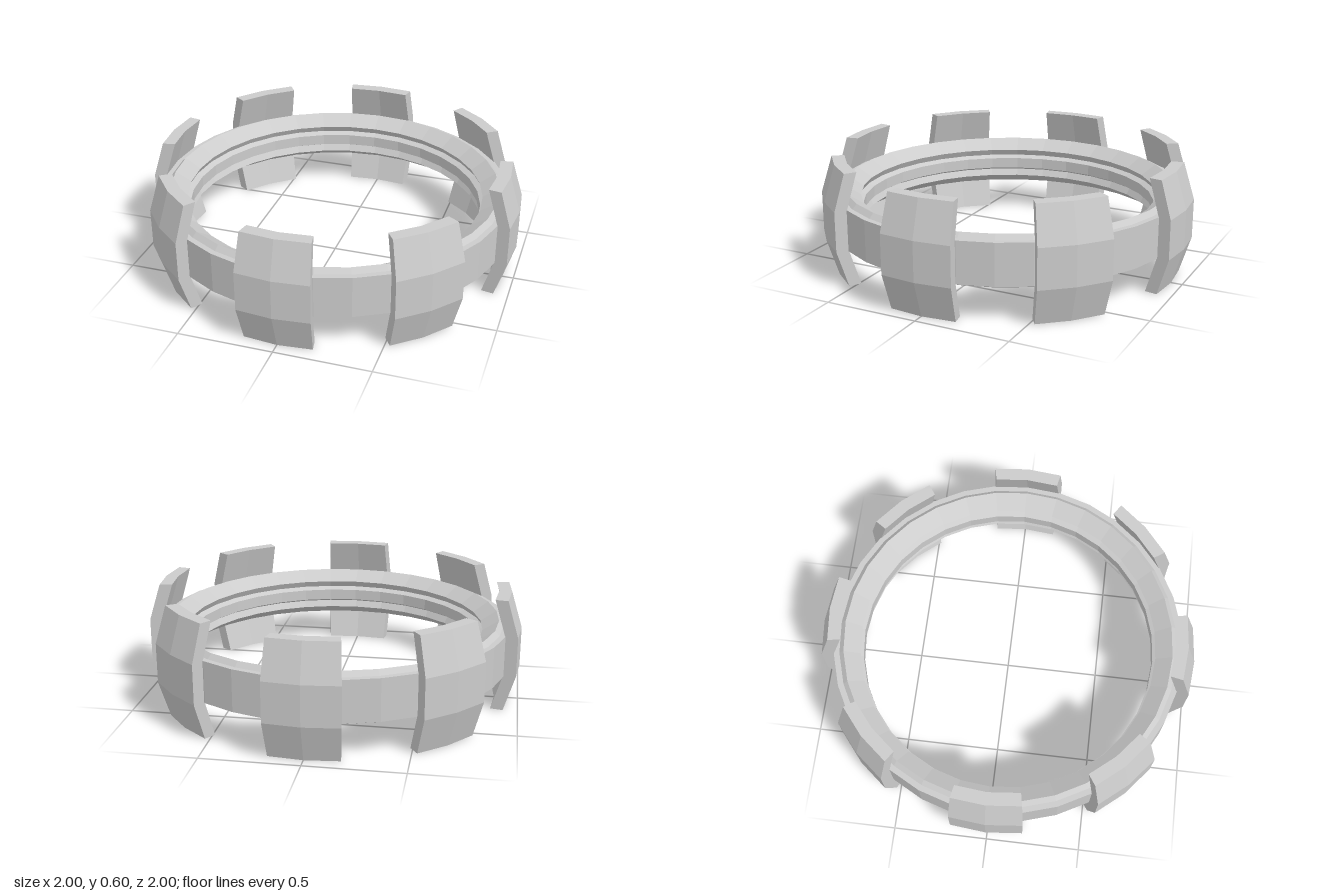
import * as THREE from 'three';
import { mergeGeometries } from 'three/addons/utils/BufferGeometryUtils.js';

const material = new THREE.MeshStandardMaterial({ color: 0xcccccc, flatShading: true });

// Sweeps a closed [radius, height] profile around y; partial sweeps get end caps.
function sweep(profile, segments, start = 0, length = Math.PI * 2) {
  const points = profile.map(([r, y]) => new THREE.Vector2(r, y));
  const parts = [new THREE.LatheGeometry([...points, points[0]], segments, start, length)];
  if (length < Math.PI * 2) {
    [start, start + length].forEach((angle, end) => {
      const cap = new THREE.ShapeGeometry(new THREE.Shape(points));
      if (end) cap.index.array.reverse();
      parts.push(cap.rotateY(angle - Math.PI / 2));
    });
  }
  const geometry = mergeGeometries(parts.map((p) => p.toNonIndexed()));
  geometry.computeVertexNormals();
  return geometry;
}

// Mirrors the upper half of a profile about mid height to close it.
const MID = 0.3;
const mirrored = (upper) => [
  ...upper,
  ...upper.slice().reverse().map(([r, y]) => [r, 2 * MID - y]),
];

export function createModel() {
  const group = new THREE.Group();
  group.name = 'platedRing';

  // Ring: flat outer band, sloping rims, grooves and an inner ridge
  const ringProfile = mirrored([
    [0.935, 0.41], [0.905, 0.41], [0.88, 0.435],
    [0.795, 0.38], [0.815, 0.345], [0.785, 0.33],
  ]);
  const ring = new THREE.Mesh(sweep(ringProfile, 32), material);
  ring.name = 'ring';
  group.add(ring);

  // Eight bent plates clasping the outside of the ring
  const plateProfile = [
    [0.94, 0], [1, 0.195], [1, 0.405], [0.94, 0.6],
    [0.873, 0.6], [0.933, 0.405], [0.933, 0.195], [0.873, 0],
  ];
  const half = THREE.MathUtils.degToRad(11);
  const plateGeometry = sweep(plateProfile, 2, -half, 2 * half);
  for (let i = 0; i < 8; i++) {
    const plate = new THREE.Mesh(plateGeometry, material);
    plate.name = `plate${i + 1}`;
    plate.rotation.y = (i * Math.PI) / 4;
    group.add(plate);
  }
  return group;
}
